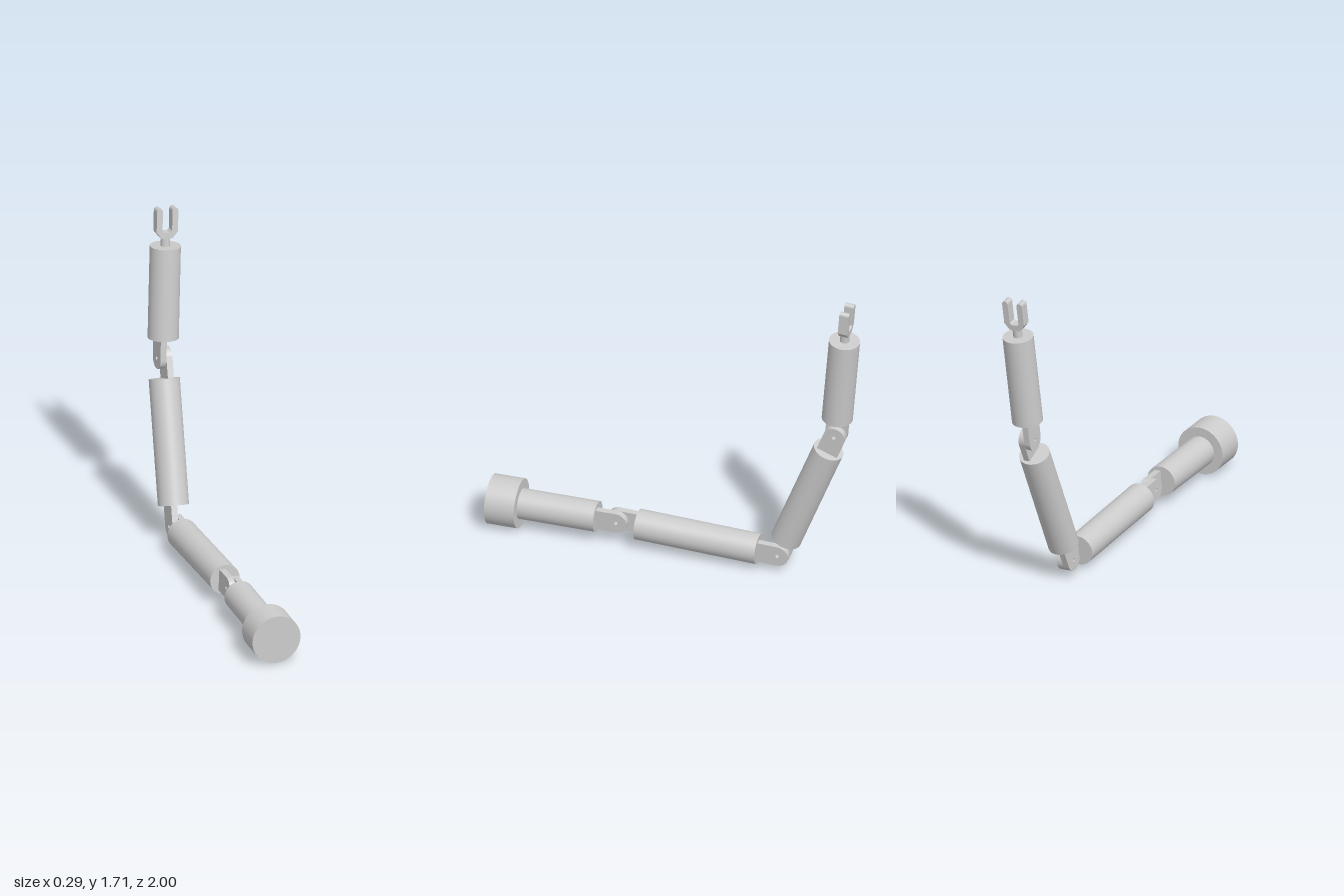
import * as THREE from 'three';

const material = new THREE.MeshStandardMaterial({ color: 0xcccccc });
const TUBE = 0.08;   // link radius
const LUG = 0.057;   // hinge lug radius
const GAP = 0.108;   // hinge centre to link body
const THICK = 0.033; // lug thickness

function add(parent, name, geometry, x = 0, y = 0, z = 0) {
  const mesh = new THREE.Mesh(geometry, material);
  mesh.name = name;
  mesh.position.set(x, y, z);
  parent.add(mesh);
  return mesh;
}

// Cylinder running along +y from height y
function rod(parent, name, radius, length, y) {
  return add(parent, name, new THREE.CylinderGeometry(radius, radius, length, 64), 0, y + length / 2, 0);
}

// Flat lug with a rounded end and pin hole; the hinge centre is its origin.
// dir = 1: body lies towards +y, dir = -1: body lies towards -y
function lug(parent, name, y, dir) {
  const shape = new THREE.Shape();
  shape.moveTo(LUG, GAP);
  shape.lineTo(-LUG, GAP);
  shape.lineTo(-LUG, 0);
  shape.absarc(0, 0, LUG, Math.PI, Math.PI * 2, false);
  shape.closePath();
  const hole = new THREE.Path();
  hole.absarc(0, 0, 0.01, 0, Math.PI * 2, true);
  shape.holes.push(hole);
  const geometry = new THREE.ExtrudeGeometry(shape, { depth: THICK, bevelEnabled: false, curveSegments: 24 });
  geometry.rotateY(Math.PI / 2);
  if (dir < 0) geometry.rotateZ(Math.PI); // flips end for end and to the other side
  geometry.translate(dir > 0 ? -THICK : THICK, 0, 0);
  return add(parent, name, geometry, 0, y, 0);
}

// Hinged link whose origin is its lower hinge
function link(parent, name, y, bend, length) {
  const group = new THREE.Group();
  group.name = name;
  group.position.y = y;
  group.rotation.x = bend;
  parent.add(group);
  lug(group, name + 'LowerLug', 0, 1);
  rod(group, name + 'Body', TUBE, length, GAP);
  return group;
}

// Two-fingered fork, chamfered at the bottom and rounded at the tips
function gripper(parent, y) {
  const group = new THREE.Group();
  group.name = 'gripper';
  group.position.y = y;
  parent.add(group);
  rod(group, 'gripperStem', 0.024, 0.05, 0);
  const out = 0.058, inn = 0.026, mid = (out + inn) / 2, r = (out - inn) / 2, tip = 0.207 - r;
  const s = new THREE.Shape();
  s.moveTo(-0.03, 0.045);
  s.lineTo(0.03, 0.045);
  s.lineTo(out, 0.08);
  s.lineTo(out, tip);
  s.absarc(mid, tip, r, 0, Math.PI, false);
  s.lineTo(inn, 0.085);
  s.lineTo(0.016, 0.075);
  s.lineTo(-0.016, 0.075);
  s.lineTo(-inn, 0.085);
  s.lineTo(-inn, tip);
  s.absarc(-mid, tip, r, 0, Math.PI, false);
  s.lineTo(-out, 0.08);
  s.closePath();
  const geometry = new THREE.ExtrudeGeometry(s, { depth: 0.05, bevelEnabled: false, curveSegments: 12 });
  geometry.translate(0, 0, -0.025);
  add(group, 'gripperFork', geometry);
}

export function createModel() {
  const model = new THREE.Group();
  model.name = 'robotArm';
  const rad = THREE.MathUtils.degToRad;

  // The whole arm leans slightly about the base axis
  const arm = new THREE.Group();
  arm.name = 'arm';
  arm.position.set(-0.018, 0.13, 1);
  arm.rotation.z = -0.0585;
  model.add(arm);

  // Base, lying along -z
  const base = new THREE.Group();
  base.name = 'base';
  base.rotation.x = -Math.PI / 2;
  arm.add(base);
  rod(base, 'baseDisc', 0.13, 0.16, 0);
  rod(base, 'baseShaft', TUBE, 0.41, 0.16);
  lug(base, 'baseLug', 0.57 + GAP, -1);

  // Links, each hinged on the one before
  const span = 0.65 + 2 * GAP;
  const lower = link(base, 'lowerLink', 0.57 + GAP, rad(-2.3), 0.65);
  lug(lower, 'lowerLinkUpperLug', span, -1);
  const middle = link(lower, 'middleLink', span, rad(70.65), 0.65);
  lug(middle, 'middleLinkUpperLug', span, -1);
  const upper = link(middle, 'upperLink', span, rad(16.05), 0.495);
  gripper(upper, GAP + 0.495);

  return model;
}
